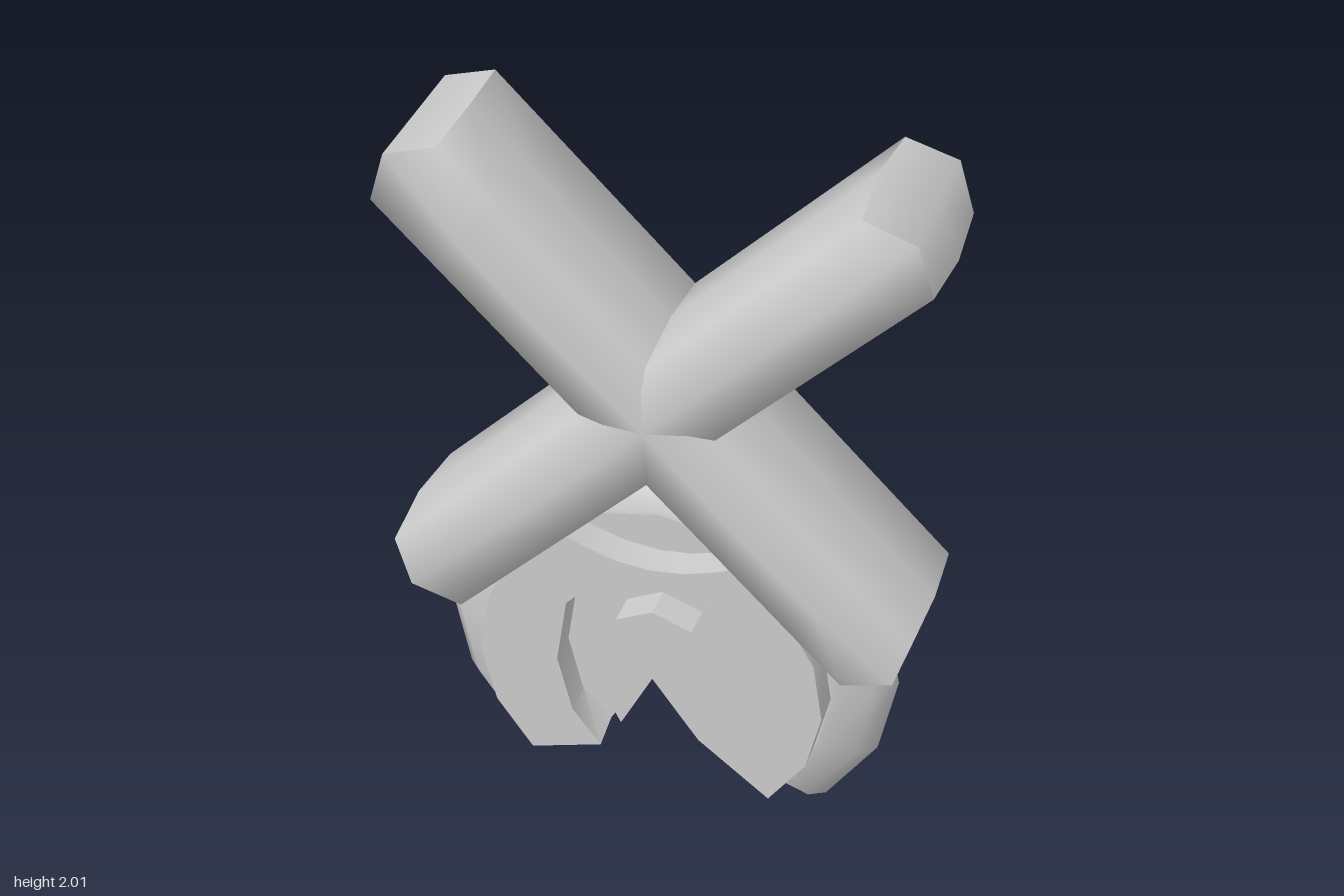
import * as THREE from 'three';
import { mergeVertices, toCreasedNormals } from 'three/addons/utils/BufferGeometryUtils.js';

const CY = 0.45; // height of the disc centre
const grey = () => new THREE.MeshStandardMaterial({ color: 0xcccccc, side: THREE.DoubleSide });

function mesh(name, geometry) {
  const m = new THREE.Mesh(geometry, grey());
  m.name = name;
  return m;
}

// Eight-sided pillowy beam along y, with a ridged tip at both ends
function beamGeometry() {
  const section = [[0.145, 0], [0.128, 0.2], [0, 0.232], [-0.128, 0.2],
    [-0.145, 0], [-0.128, -0.2], [0, -0.232], [0.128, -0.2]];
  let g = new THREE.CylinderGeometry(1, 1, 2, 8, 8);
  const p = g.attributes.position;
  for (let i = 0; i < p.count; i++) {
    const x = p.getX(i), z = p.getZ(i), v = p.getY(i);
    const end = Math.abs(v) > 0.99;
    const centre = Math.hypot(x, z) < 0.01;
    const k = (Math.round(Math.atan2(z, x) / (Math.PI / 4)) + 8) % 8;
    const [w, d] = centre ? [0, 0] : section[k];
    const a = Math.abs(v);
    const depth = k % 4 === 2 ? (end ? 0.88 : 1 + 0.05 * Math.sin(a * Math.PI)) : 1;
    const reach = end && Math.abs(w) < 0.01 ? 0.943 : 0.875;
    p.setXYZ(i, w, v * reach, d * depth);
  }
  g.deleteAttribute('uv');
  g = mergeVertices(g);
  g.computeVertexNormals();
  return g;
}

// Points of an arc, angles in degrees
function arc(cx, cy, r, from, to, steps) {
  return Array.from({ length: steps + 1 }, (_, i) => {
    const a = THREE.MathUtils.degToRad(from + (to - from) * i / steps);
    return new THREE.Vector2(cx + r * Math.cos(a), cy + r * Math.sin(a));
  });
}

const points = list => list.map(([x, y]) => new THREE.Vector2(x, y));

// Extruded slab whose notch faces slant from front to back
function slab(outline, z0, z1) {
  const g = new THREE.ExtrudeGeometry(new THREE.Shape(outline),
    { depth: z1 - z0, bevelEnabled: false });
  g.translate(0, 0, z0);
  const p = g.attributes.position;
  for (let i = 0; i < p.count; i++) {
    const x = p.getX(i), y = p.getY(i);
    if (Math.abs(Math.abs(x) - 0.14) < 0.005 && Math.abs(y - 0.22) < 0.005) {
      p.setY(i, y + 0.25 * p.getZ(i) * Math.sign(x));
    }
  }
  return toCreasedNormals(g, 0.5);
}

export function createModel() {
  const model = new THREE.Group();
  model.name = 'crossedBeamsOnNotchedDisc';

  // Crossed beams
  for (const s of [-1, 1]) {
    const beam = mesh(s < 0 ? 'beamRisingLeft' : 'beamRisingRight', beamGeometry());
    beam.position.y = 1.285;
    beam.rotation.z = s * Math.PI / 4;
    model.add(beam);
  }

  // Core disc with the wedge notch
  const core = [...arc(0, CY, 0.485, -45, 225, 12),
    ...points([[-0.14, 0.22], [0, 0.44], [0.14, 0.22]])];
  model.add(mesh('coreDisc', slab(core, -0.1, 0.1)));

  // Raised plate: scooped below the beams, with a hooked groove open to the notch
  const plate = [
    ...arc(0, CY, 0.48, -45, 62.5, 5),
    ...arc(0, 1.28, 0.46, -55, -125, 6).slice(1, -1),
    ...arc(0, CY, 0.48, 117.5, 225, 5),
    ...points([[-0.14, 0.22], [-0.22, 0.28], [-0.26, 0.45], [-0.23, 0.65],
      [-0.13, 0.76], [0.02, 0.79], [0.17, 0.75], [0.12, 0.64], [0.01, 0.68],
      [-0.09, 0.63], [-0.14, 0.48], [-0.13, 0.37], [-0.08, 0.27],
      [0.01, 0.45], [0.14, 0.22]]),
  ];
  for (const name of ['frontPlate', 'backPlate']) {
    const m = mesh(name, slab(plate, 0.1, 0.19));
    if (name === 'backPlate') m.rotation.y = Math.PI;
    model.add(m);
  }

  // Outer rim, open at the bottom, with flat end caps
  const profile = points([[0.47, -0.1], [0.5, -0.098], [0.59, -0.06], [0.64, 0],
    [0.59, 0.06], [0.5, 0.098], [0.47, 0.1]]);
  const rim = new THREE.Group();
  rim.name = 'outerRim';
  rim.position.y = CY;
  const band = new THREE.LatheGeometry(profile, 12, Math.PI / 4, Math.PI * 1.5);
  rim.add(mesh('rimBand', band.rotateX(Math.PI / 2)));
  for (const angle of [-Math.PI / 4, -3 * Math.PI / 4]) {
    const cap = new THREE.ShapeGeometry(new THREE.Shape(profile));
    rim.add(mesh('rimEnd', cap.rotateX(Math.PI / 2).rotateZ(angle)));
  }
  model.add(rim);

  return model;
}
